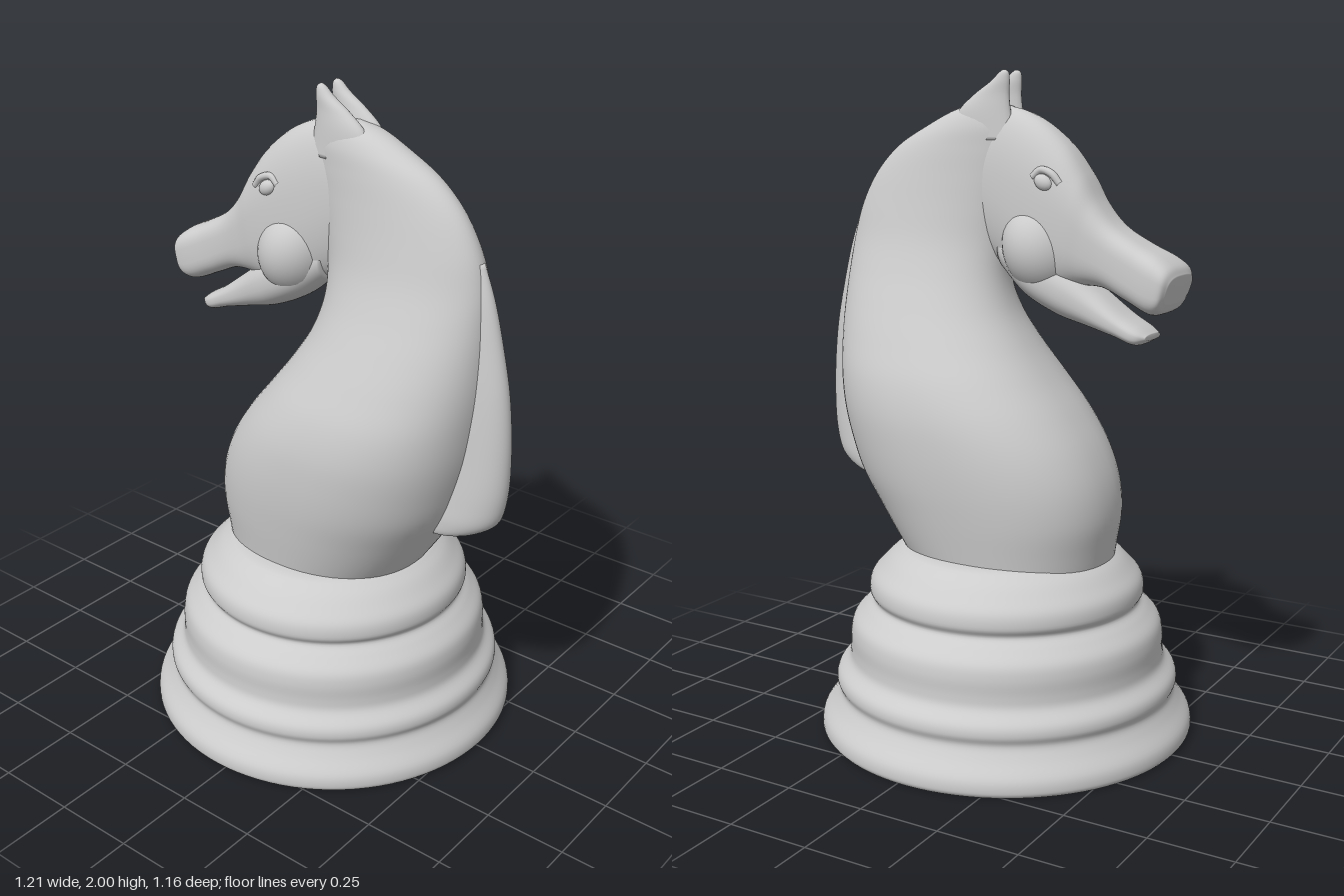
import * as THREE from 'three';

const stone = new THREE.MeshStandardMaterial({ color: 0xcccccc });
stone.name = 'light grey';

function add(parent, name, geometry) {
  const mesh = new THREE.Mesh(geometry, stone);
  mesh.name = name;
  parent.add(mesh);
  return mesh;
}

// Smooth loft. Each section: [ax, ay, bx, by, halfWidth, power]; a and b are
// opposite ends of an oval in the x-y plane, halfWidth spreads it along z.
function loft(sections, steps = 64, sides = 48) {
  const curve = (f) => new THREE.CatmullRomCurve3(sections.map(f));
  const ca = curve((s) => new THREE.Vector3(s[0], s[1], s[4]));
  const cb = curve((s) => new THREE.Vector3(s[2], s[3], s[5] ?? 1));
  const pow = (v, e) => Math.sign(v) * Math.abs(v) ** e;
  const pos = [], idx = [], centres = [];
  for (let i = 0; i <= steps; i++) {
    const a = ca.getPoint(i / steps), b = cb.getPoint(i / steps);
    const cx = (a.x + b.x) / 2, cy = (a.y + b.y) / 2;
    centres.push([cx, cy, 0]);
    for (let j = 0; j < sides; j++) {
      const t = (j / sides) * Math.PI * 2;
      const u = pow(Math.cos(t), b.z);
      pos.push(cx + (a.x - cx) * u, cy + (a.y - cy) * u, a.z * pow(Math.sin(t), b.z));
    }
  }
  const n = (steps + 1) * sides;
  pos.push(...centres[0], ...centres[steps]);
  for (let j = 0; j < sides; j++) {
    const k = (j + 1) % sides;
    for (let i = 0; i < steps; i++) {
      const r = i * sides, q = r + sides;
      idx.push(r + j, r + k, q + j, r + k, q + k, q + j);
    }
    const e = steps * sides;
    idx.push(n, k, j, n + 1, e + j, e + k);
  }
  const g = new THREE.BufferGeometry();
  g.setAttribute('position', new THREE.Float32BufferAttribute(pos, 3));
  g.setIndex(idx);
  g.computeVertexNormals();
  return g;
}

export function createModel() {
  const model = new THREE.Group();
  model.name = 'chessKnight';

  // Turned base with three stepped rolls
  const base = new THREE.Group();
  base.name = 'base';
  base.position.x = -0.03;
  model.add(base);
  const profile = new THREE.SplineCurve([
    [0.57, 0], [0.578, 0.015], [0.572, 0.05], [0.54, 0.095], [0.522, 0.13],
    [0.53, 0.16], [0.523, 0.19], [0.492, 0.225], [0.485, 0.26], [0.484, 0.31],
    [0.473, 0.35], [0.44, 0.385], [0.413, 0.412], [0.424, 0.44], [0.418, 0.48],
    [0.39, 0.515], [0.34, 0.56], [0.27, 0.582], [0, 0.585],
  ].map((p) => new THREE.Vector2(...p)));
  add(base, 'turnedBase', new THREE.LatheGeometry(profile.getPoints(90), 96));
  add(base, 'underside', new THREE.CircleGeometry(0.57, 96)).rotation.x = Math.PI / 2;

  // Neck: front point, back point, half width
  add(model, 'neck', loft([
    [-0.36, 0.5, 0.24, 0.5, 0.27, 0.95],
    [-0.375, 0.6, 0.31, 0.6, 0.285, 0.92],
    [-0.388, 0.7, 0.375, 0.7, 0.3, 0.9],
    [-0.375, 0.8, 0.435, 0.8, 0.312, 0.88],
    [-0.335, 0.9, 0.47, 0.9, 0.317, 0.87],
    [-0.27, 1.0, 0.495, 1.0, 0.313, 0.87],
    [-0.19, 1.1, 0.51, 1.1, 0.292, 0.88],
    [-0.115, 1.2, 0.52, 1.2, 0.252, 0.9],
    [-0.055, 1.3, 0.522, 1.3, 0.208, 0.92],
    [-0.027, 1.4, 0.518, 1.4, 0.165, 0.95],
    [-0.03, 1.5, 0.507, 1.5, 0.13, 1],
    [-0.05, 1.6, 0.48, 1.6, 0.108, 1],
    [-0.08, 1.7, 0.425, 1.7, 0.092, 1],
    [-0.1, 1.78, 0.345, 1.78, 0.082, 1],
    [-0.1, 1.84, 0.24, 1.84, 0.073, 1],
    [-0.07, 1.885, 0.145, 1.885, 0.055, 1],
    [-0.02, 1.905, 0.07, 1.905, 0.02, 1],
  ], 96, 64));

  // Mane: outer point, inner point, half width, from top to bottom
  add(model, 'mane', loft([
    [0.495, 1.58, 0.4, 1.58, 0.02],
    [0.53, 1.48, 0.4, 1.47, 0.035],
    [0.563, 1.35, 0.4, 1.33, 0.045],
    [0.592, 1.2, 0.4, 1.18, 0.055],
    [0.605, 1.02, 0.38, 1.0, 0.065],
    [0.598, 0.88, 0.35, 0.86, 0.074],
    [0.575, 0.805, 0.33, 0.78, 0.077],
    [0.53, 0.768, 0.33, 0.73, 0.068],
    [0.48, 0.75, 0.34, 0.715, 0.035],
  ]));

  // Head: lower point, upper point, half width, from poll to muzzle
  add(model, 'head', loft([
    [0.08, 1.5, 0.08, 1.88, 0.06],
    [0.0, 1.45, -0.05, 1.895, 0.078, 0.9],
    [-0.08, 1.4, -0.15, 1.86, 0.093, 0.85],
    [-0.17, 1.37, -0.24, 1.79, 0.1, 0.8],
    [-0.24, 1.38, -0.3, 1.71, 0.099, 0.75],
    [-0.3, 1.39, -0.345, 1.63, 0.093, 0.7],
    [-0.37, 1.388, -0.4, 1.567, 0.09, 0.65],
    [-0.45, 1.355, -0.485, 1.517, 0.096, 0.6],
    [-0.53, 1.322, -0.55, 1.486, 0.106, 0.6],
    [-0.556, 1.33, -0.583, 1.462, 0.104, 0.6],
    [-0.572, 1.355, -0.598, 1.435, 0.085, 0.65],
  ], 80));

  // Lower jaw
  add(model, 'lowerJaw', loft([
    [-0.03, 1.425, -0.03, 1.55, 0.06],
    [-0.12, 1.35, -0.15, 1.5, 0.098, 0.9],
    [-0.22, 1.3, -0.25, 1.45, 0.094, 0.85],
    [-0.32, 1.273, -0.35, 1.375, 0.082, 0.8],
    [-0.41, 1.25, -0.43, 1.315, 0.078, 0.75],
    [-0.475, 1.231, -0.485, 1.283, 0.072, 0.75],
    [-0.508, 1.246, -0.511, 1.264, 0.05, 0.8],
  ]));

  // Rounded cheeks across the back of the jaw
  const cheeks = add(model, 'cheeks', new THREE.SphereGeometry(1, 40, 28));
  cheeks.scale.set(0.118, 0.142, 0.135);
  cheeks.position.set(-0.155, 1.492, 0);
  cheeks.rotation.z = -0.3;

  // Paired ears and eyes
  const earShape = loft([
    [-0.08, 1.8, 0.14, 1.8, 0.034],
    [-0.062, 1.88, 0.115, 1.88, 0.03],
    [-0.056, 1.93, 0.06, 1.93, 0.023],
    [-0.057, 1.97, 0.0, 1.97, 0.018],
    [-0.054, 1.992, -0.024, 1.992, 0.012],
    [-0.045, 2.0, -0.036, 2.0, 0.004],
  ], 40, 24);
  for (const side of [1, -1]) {
    const label = side > 0 ? 'front' : 'rear';
    add(model, label + 'Ear', earShape).position.z = side * 0.036;
    const eye = add(model, label + 'Eye', new THREE.SphereGeometry(1, 20, 14));
    eye.scale.set(0.03, 0.022, 0.018);
    eye.position.set(-0.2, 1.685, side * 0.09);
    eye.rotation.z = 0.5;
    const lid = new THREE.CatmullRomCurve3([
      [-0.25, 1.682, 0.084], [-0.225, 1.71, 0.088], [-0.19, 1.72, 0.086], [-0.163, 1.7, 0.086],
    ].map(([x, y, z]) => new THREE.Vector3(x, y, z * side)));
    add(model, label + 'Brow', new THREE.TubeGeometry(lid, 20, 0.011, 10));
  }
  return model;
}
